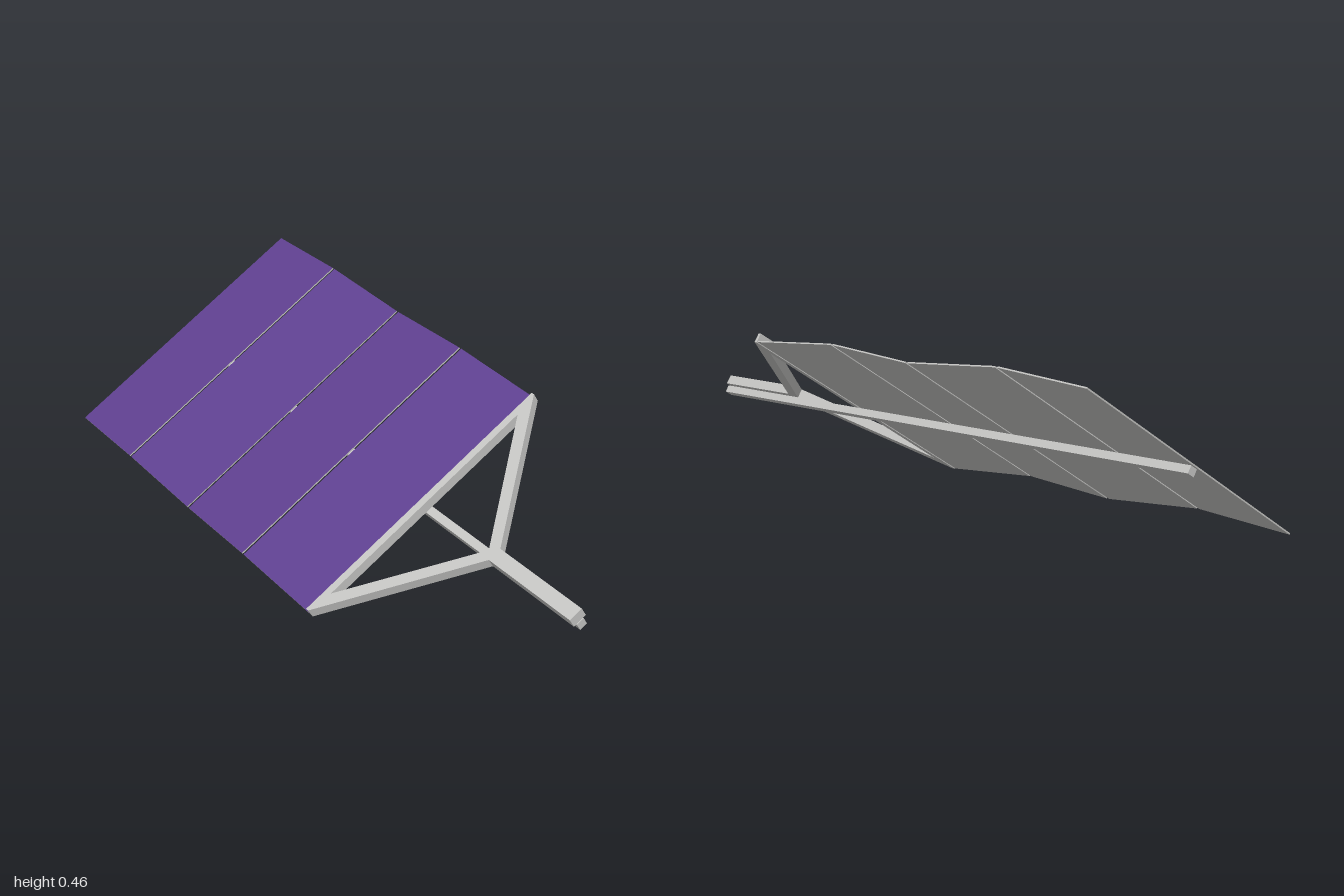
import * as THREE from 'three';

export function createModel() {
  const model = new THREE.Group();
  model.name = 'solarArray';
  const frameGrey = new THREE.MeshStandardMaterial({ color: 0xc6c6c4 });
  frameGrey.name = 'frameGrey';
  const cellPurple = new THREE.MeshStandardMaterial({ color: 0x5f4090 });
  cellPurple.name = 'cellPurple';

  // Everything is built flat, then tilted about the long axis
  const wing = new THREE.Group();
  wing.name = 'tiltedWing';
  wing.position.y = 0.232;
  wing.rotation.z = THREE.MathUtils.degToRad(31);
  model.add(wing);

  const add = (name, geometry, material) => {
    const mesh = new THREE.Mesh(geometry, material);
    mesh.name = name;
    wing.add(mesh);
    return mesh;
  };

  // Y-shaped yoke: stem, two diagonals and a crossbar around a triangular hole
  const points = list => list.map(([x, z]) => new THREE.Vector2(x, z));
  const outline = new THREE.Shape(points([
    [-0.426, 0.333], [0.426, 0.333], [0.426, 0.343], [0.021, 0.667],
    [0.021, 1], [-0.021, 1], [-0.021, 0.667], [-0.426, 0.343],
  ]));
  outline.holes.push(new THREE.Path(points([[-0.352, 0.356], [0, 0.642], [0.352, 0.356]])));
  const yoke = new THREE.ExtrudeGeometry(outline, { depth: 0.028, bevelEnabled: false });
  yoke.rotateX(Math.PI / 2).translate(0, 0.014, 0);
  add('yoke', yoke, frameGrey);

  // Mast running the full length beneath the panels
  add('mast', new THREE.BoxGeometry(0.024, 0.022, 2), frameGrey).position.y = -0.028;

  // Four hinged panels in a shallow zigzag, cells on the upper face only
  const pitch = 1 / 3, rise = 0.022;
  const faces = [frameGrey, frameGrey, cellPurple, frameGrey, frameGrey, frameGrey];
  for (let i = 0; i < 4; i++) {
    const panel = add('panel' + (i + 1), new THREE.BoxGeometry(0.852, 0.004, pitch - 0.008), faces);
    panel.position.z = pitch * (0.5 - i);
    panel.rotation.x = Math.atan(rise / pitch) * (i % 2 ? -1 : 1);
  }
  return model;
}
